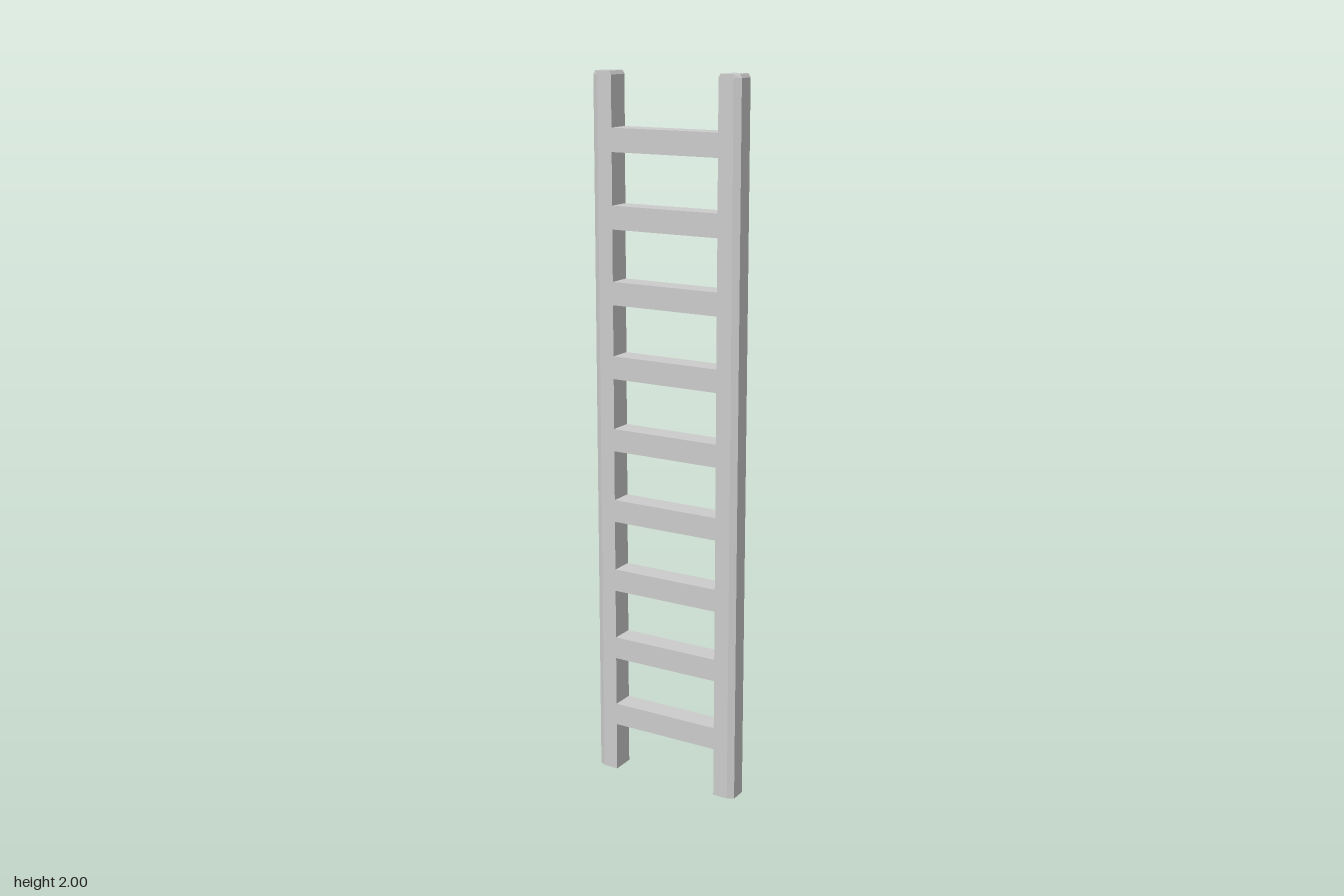
import * as THREE from 'three';

const material = new THREE.MeshStandardMaterial({ color: 0xcccccc, flatShading: true });

// Upright with chamfered outer edges and a slightly narrowed top
function railGeometry() {
  const outline = [
    [0.162, -0.033], [0.206, -0.033], [0.224, -0.023],
    [0.224, 0.023], [0.206, 0.033], [0.162, 0.033],
  ].map(([x, y]) => new THREE.Vector2(x, y));
  const geometry = new THREE.ExtrudeGeometry(new THREE.Shape(outline), {
    depth: 2, steps: 2, bevelEnabled: false,
  });
  geometry.rotateX(-Math.PI / 2);

  // Raise the middle ring to just below the top, then draw the top ring in
  const p = geometry.attributes.position;
  const centre = 0.193;
  for (let i = 0; i < p.count; i++) {
    if (p.getY(i) > 1.5) p.setX(i, centre + (p.getX(i) - centre) * 0.82);
    else if (p.getY(i) > 0.5) p.setY(i, 1.99);
  }
  geometry.computeVertexNormals();
  return geometry;
}

export function createModel() {
  const ladder = new THREE.Group();
  ladder.name = 'ladder';

  // Two mirrored rails
  const rail = railGeometry();
  for (const [name, turn] of [['leftRail', 0], ['rightRail', Math.PI]]) {
    const mesh = new THREE.Mesh(rail, material);
    mesh.name = name;
    mesh.rotation.y = turn;
    ladder.add(mesh);
  }

  // Nine evenly spaced rungs, flush with the rails front and back
  const rung = new THREE.BoxGeometry(0.324, 0.064, 0.066);
  for (let i = 0; i < 9; i++) {
    const mesh = new THREE.Mesh(rung, material);
    mesh.name = `rung${i + 1}`;
    mesh.position.y = 0.173 + i * 0.206;
    ladder.add(mesh);
  }
  return ladder;
}
